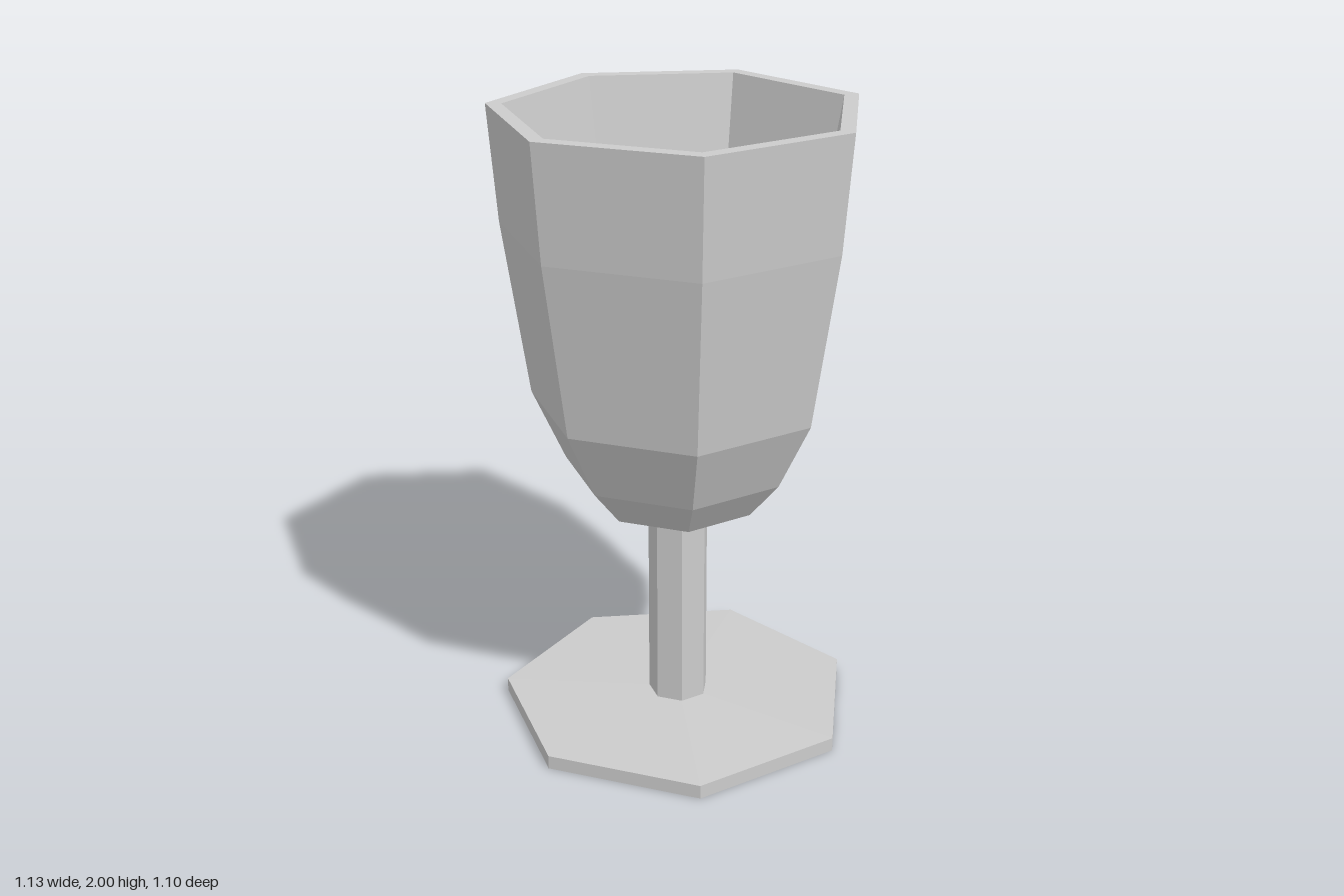
import * as THREE from 'three';

const SIDES = 7;
const material = new THREE.MeshStandardMaterial({ color: 0xcccccc, flatShading: true });

// Seven-sided turned part: profile of [radius, height], one corner pointing to the back
function turned(name, profile) {
  const points = profile.map(([r, y]) => new THREE.Vector2(r, y));
  const geometry = new THREE.LatheGeometry(points, SIDES, Math.PI);
  const mesh = new THREE.Mesh(geometry, material);
  mesh.name = name;
  return mesh;
}

export function createModel() {
  const goblet = new THREE.Group();
  goblet.name = 'goblet';

  // Flat foot, rising very slightly towards the stem
  const foot = turned('foot', [[0, 0], [0.577, 0], [0.577, 0.045], [0.097, 0.055]]);

  // Straight stem
  const stem = turned('stem', [[0.097, 0.055], [0.097, 0.69]]);

  // Bowl: outside from the stem up, over the rim, down the straight inside to the floor
  const bowl = turned('bowl', [
    [0.097, 0.69], [0.261, 0.75], [0.36, 0.87], [0.465, 1.09], [0.548, 1.64], [0.577, 2],
    [0.528, 2], [0.324, 0.88], [0, 0.88],
  ]);

  goblet.add(foot, stem, bowl);

  // An odd number of sides is deeper at the back: shift to centre the depth
  for (const part of goblet.children) part.position.z = 0.028;
  return goblet;
}
